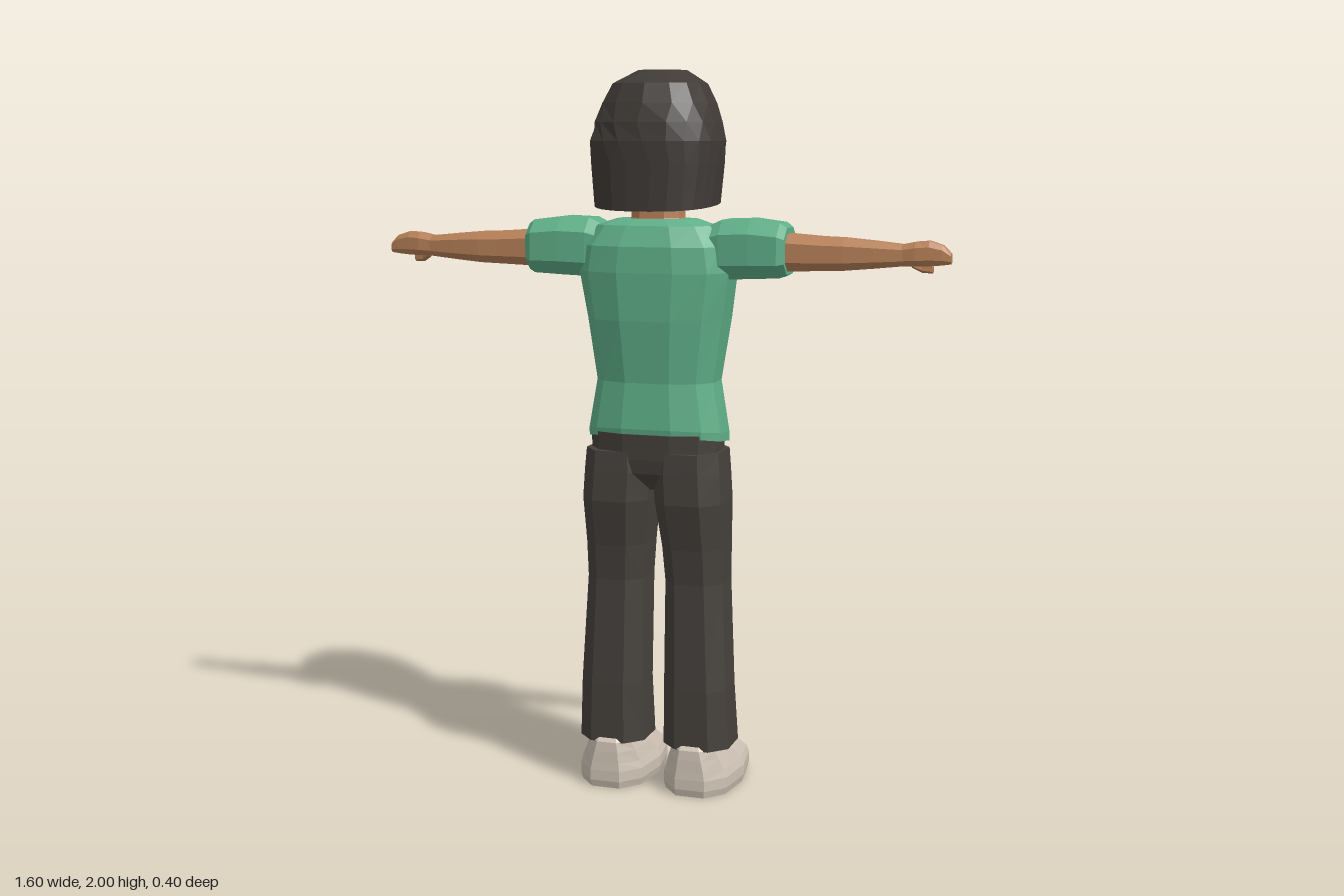
import * as THREE from 'three';

const mat = (name, color, side = THREE.FrontSide) => {
  const m = new THREE.MeshStandardMaterial({ color, side, flatShading: true });
  m.name = name;
  return m;
};

// Faceted skin over rows of points that run from bottom to top
function skin(rows, closed = true, capBottom = true, capTop = true) {
  const pos = [], n = rows[0].length;
  const tri = (...pts) => pts.forEach(p => pos.push(p.x, p.y, p.z));
  for (let i = 0; i < rows.length - 1; i++) {
    for (let j = 0; j < (closed ? n : n - 1); j++) {
      const k = (j + 1) % n, a = rows[i], b = rows[i + 1];
      tri(a[j], b[j], a[k]);
      tri(a[k], b[j], b[k]);
    }
  }
  const cap = (row, top) => {
    const c = row.reduce((s, p) => s.add(p), new THREE.Vector3()).divideScalar(n);
    row.forEach((p, j) => {
      const q = row[(j + 1) % n];
      if (top) tri(c, q, p); else tri(c, p, q);
    });
  };
  if (capBottom) cap(rows[0], false);
  if (capTop) cap(rows[rows.length - 1], true);
  const g = new THREE.BufferGeometry();
  g.setAttribute('position', new THREE.Float32BufferAttribute(pos, 3));
  g.computeVertexNormals();
  return g;
}

const pw = (v, p) => Math.sign(v) * Math.abs(v) ** p;

// Section: [y, centre x, half width, z of the face side, z of the rear side, tilt]
function loft(sections, n = 8, p = 0.75) {
  const k = Math.cos(Math.PI / n) ** p;
  return skin(sections.map(([y, cx, rx, z0, z1, tilt = 0]) =>
    Array.from({ length: n }, (_, j) => {
      const a = (j + 0.5) / n * Math.PI * 2;
      return new THREE.Vector3(cx + rx * pw(Math.sin(a), p) / k, y + tilt * Math.cos(a),
        (z0 + z1) / 2 - (z1 - z0) / 2 * pw(Math.cos(a), p) / k);
    })));
}

// Mirrored copy across x = 0 with the winding restored
function mirror(g) {
  const m = g.clone().scale(-1, 1, 1), a = m.attributes.position.array;
  for (let i = 0; i < a.length; i += 9) {
    for (let c = 3; c < 6; c++) [a[i + c], a[i + c + 3]] = [a[i + c + 3], a[i + c]];
  }
  m.computeVertexNormals();
  return m;
}

export function createModel() {
  const group = new THREE.Group();
  const skinTone = mat('skin', 0xb98259);
  const shirt = mat('shirt green', 0x60b089);
  const pants = mat('trouser charcoal', 0x46413c);
  const hairMat = mat('hair dark brown', 0x403b37, THREE.DoubleSide);
  const shoeMat = mat('shoe beige', 0xcfc3b5);
  const dark = mat('eye black', 0x231e1c);
  const lip = mat('lip brown', 0x8f5c42);

  const add = (name, geometry, material) => {
    const m = new THREE.Mesh(geometry, material);
    m.name = name;
    group.add(m);
    return m;
  };
  const pair = (name, geometry, material) => {
    add('left' + name, geometry, material);
    add('right' + name, mirror(geometry), material);
  };

  // Torso
  add('shirtBody', loft([
    [0.995, 0, 0.19, -0.085, 0.15, -0.02], [1.02, 0, 0.19, -0.087, 0.153, -0.015],
    [1.16, 0, 0.167, -0.08, 0.143], [1.33, 0, 0.192, -0.108, 0.162],
    [1.46, 0, 0.213, -0.085, 0.165], [1.53, 0, 0.2, -0.06, 0.16],
    [1.585, 0, 0.16, -0.03, 0.135], [1.602, 0, 0.11, -0.015, 0.11],
  ], 12), shirt);
  add('trouserHips', loft([
    [0.86, 0, 0.05, -0.02, 0.1], [0.91, 0, 0.11, -0.055, 0.145],
    [0.95, 0, 0.18, -0.068, 0.152], [1.02, 0, 0.18, -0.07, 0.156],
  ], 12), pants);

  // Legs and shoes
  pair('TrouserLeg', loft([
    [0.13, 0.124, 0.095, -0.065, 0.13], [0.3, 0.122, 0.09, -0.045, 0.13],
    [0.6, 0.114, 0.082, -0.063, 0.12], [0.7, 0.111, 0.086, -0.067, 0.132],
    [0.83, 0.105, 0.095, -0.068, 0.16], [0.91, 0.1, 0.095, -0.068, 0.157],
    [0.97, 0.1, 0.09, -0.068, 0.153],
  ]), pants);
  pair('Shoe', loft([
    [0, 0.125, 0.1, -0.195, 0.142], [0.02, 0.125, 0.105, -0.2, 0.147],
    [0.05, 0.125, 0.105, -0.2, 0.147], [0.072, 0.125, 0.097, -0.19, 0.145],
    [0.105, 0.123, 0.083, -0.13, 0.143], [0.132, 0.122, 0.07, -0.07, 0.14],
    [0.152, 0.122, 0.055, -0.03, 0.12],
  ], 10, 0.8), shoeMat);

  // Arms: lofted upward, then laid along +x (a local x of -h becomes height h)
  const limb = (sections, n) => loft(sections.map(([x, h, r, a, b]) => [x, -h, r, a, b]), n)
    .rotateZ(-Math.PI / 2);
  pair('Sleeve', limb([
    [0.13, 1.515, 0.06, -0.03, 0.1], [0.19, 1.522, 0.08, -0.05, 0.112],
    [0.27, 1.525, 0.08, -0.053, 0.115], [0.35, 1.522, 0.073, -0.047, 0.113],
    [0.368, 1.52, 0.062, -0.035, 0.1],
  ]), shirt);
  pair('Arm', limb([
    [0.35, 1.517, 0.051, -0.018, 0.086], [0.46, 1.515, 0.045, -0.01, 0.082],
    [0.52, 1.515, 0.043, -0.008, 0.08], [0.6, 1.515, 0.036, -0.003, 0.072],
    [0.68, 1.515, 0.028, 0.007, 0.062],
  ]), skinTone);
  pair('Hand', limb([
    [0.67, 1.515, 0.028, 0.007, 0.062], [0.71, 1.519, 0.032, 0.007, 0.064],
    [0.745, 1.521, 0.033, 0.01, 0.06], [0.78, 1.517, 0.026, 0.016, 0.055],
    [0.802, 1.508, 0.014, 0.022, 0.05],
  ]), skinTone);
  pair('Thumb', limb([
    [0.695, 1.495, 0.013, 0.0, 0.028], [0.72, 1.485, 0.016, -0.012, 0.014],
    [0.748, 1.477, 0.01, -0.011, 0.008],
  ], 6), skinTone);

  // Head
  add('neck', loft([
    [1.56, 0, 0.085, -0.03, 0.11], [1.605, 0, 0.068, -0.018, 0.098],
    [1.69, 0, 0.065, -0.015, 0.095],
  ]), skinTone);
  add('head', loft([
    [1.628, 0, 0.055, -0.068, 0.06], [1.66, 0, 0.095, -0.088, 0.1],
    [1.73, 0, 0.126, -0.098, 0.13], [1.82, 0, 0.134, -0.1, 0.14],
    [1.89, 0, 0.128, -0.094, 0.135], [1.94, 0, 0.09, -0.06, 0.11],
  ], 12, 0.7), skinTone);
  const nose = add('nose', new THREE.ConeGeometry(0.028, 0.065, 4).toNonIndexed(), skinTone);
  nose.geometry.computeVertexNormals();
  nose.position.set(0, 1.802, -0.099);
  pair('Ear', loft([
    [1.735, 0.128, 0.012, 0.01, 0.035], [1.765, 0.138, 0.018, 0, 0.05],
    [1.8, 0.143, 0.02, -0.002, 0.055], [1.82, 0.138, 0.012, 0.008, 0.045],
  ], 6), skinTone);

  // Face plates
  const plate = (name, w, h, x, y, z, material, turn = 0, roll = 0) => {
    const m = add(name, new THREE.BoxGeometry(w, h, 0.009), material);
    m.position.set(x, y, z);
    m.rotation.set(0, turn, roll);
  };
  for (const s of [1, -1]) {
    const side = s > 0 ? 'left' : 'right';
    plate(side + 'Eye', 0.032, 0.016, 0.052 * s, 1.815, -0.096, dark, -0.25 * s);
    plate(side + 'Brow', 0.046, 0.012, 0.054 * s, 1.852, -0.095, dark, -0.25 * s, -0.12 * s);
  }
  plate('mouth', 0.05, 0.006, 0, 1.705, -0.092, lip);

  // Hair: [y, half width, face z, rear z, start angle, end angle, tilt, inset];
  // angles run from the face (0) past +x (90) to the nape (180) and -x (270)
  const hairRows = [
    [1.645, 0.168, -0.09, 0.2, 45, 248, 0.014, 0.7],
    [1.64, 0.168, -0.09, 0.2, 45, 248, 0.014, 1],
    [1.75, 0.178, -0.1, 0.203, 38, 250, 0, 1],
    [1.81, 0.182, -0.106, 0.204, 30, 262, 0, 1],
    [1.86, 0.17, -0.11, 0.198, 18, 305, 0, 1],
    [1.91, 0.152, -0.11, 0.185, 0, 360, 0, 1],
    [1.962, 0.125, -0.1, 0.165, 0, 360, 0, 1],
    [1.998, 0.065, -0.06, 0.08, 0, 360, 0, 1],
  ].map(([y, rx, z0, z1, a0, a1, tilt, inset]) => {
    const steps = 14, row = [];
    for (let j = -1; j <= steps + 1; j++) {
      // The two end points fold the edge back toward the head
      const f = inset * (j < 0 || j > steps ? 0.75 : 1);
      const t = THREE.MathUtils.clamp(j / steps, 0, 1);
      const a = THREE.MathUtils.degToRad(a0 + (a1 - a0) * t);
      row.push(new THREE.Vector3(0.003 + f * rx * pw(Math.sin(a), 0.8), y + tilt * Math.cos(a),
        (z0 + z1) / 2 - f * (z1 - z0) / 2 * pw(Math.cos(a), 0.8)));
    }
    return row;
  });
  add('hair', skin(hairRows, false, false, true), hairMat);

  return group;
}
